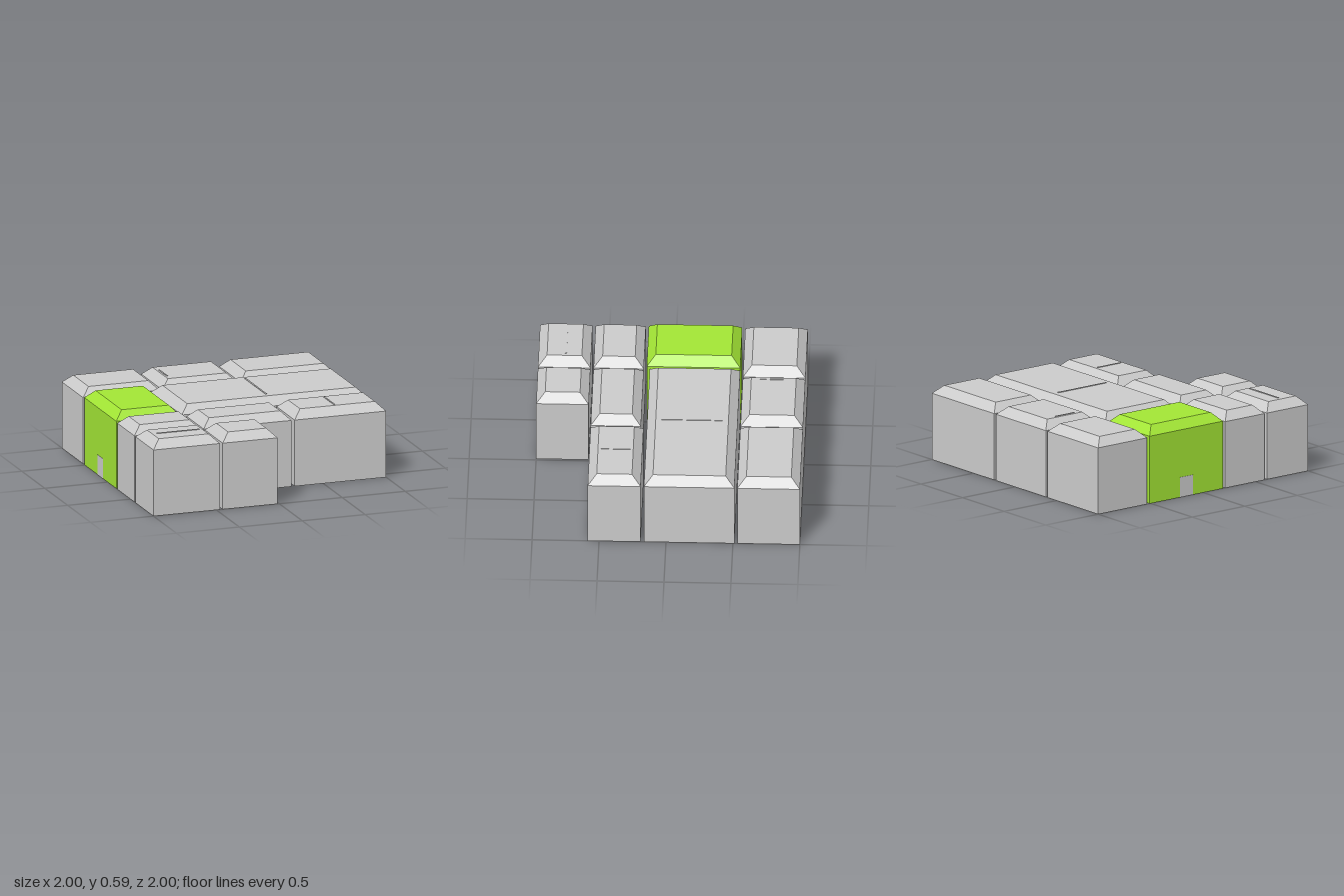
import * as THREE from 'three';

const grey = new THREE.MeshStandardMaterial({ color: 0xcccccc, flatShading: true });
const green = new THREE.MeshStandardMaterial({ color: 0xa3e635, flatShading: true });

// Block with straight walls and a chamfered top
function roomBlock(x0, x1, z0, z1, wallTop, top, inset) {
  const w = x1 - x0, d = z1 - z0;
  const geo = new THREE.BoxGeometry(w, 2, d, 1, 2, 1);
  const p = geo.attributes.position;
  for (let i = 0; i < p.count; i++) {
    const level = Math.round(p.getY(i)) + 1; // 0 floor, 1 wall top, 2 roof
    const shrink = level === 2 ? inset : 0;
    p.setXYZ(
      i,
      (x0 + x1) / 2 + Math.sign(p.getX(i)) * (w / 2 - shrink),
      [0, wallTop, top][level],
      (z0 + z1) / 2 + Math.sign(p.getZ(i)) * (d / 2 - shrink)
    );
  }
  const flat = geo.toNonIndexed();
  flat.computeVertexNormals();
  return flat;
}

function boxBetween(x0, x1, y0, y1, z0, z1) {
  return new THREE.BoxGeometry(x1 - x0, y1 - y0, z1 - z0)
    .translate((x0 + x1) / 2, (y0 + y1) / 2, (z0 + z1) / 2);
}

export function createModel() {
  const group = new THREE.Group();
  const add = (name, geo, mat = grey) => {
    const mesh = new THREE.Mesh(geo, mat);
    mesh.name = name;
    group.add(mesh);
  };

  // Grey rooms: name, x range, z range
  const rooms = [
    ['backRightRoom', -1, -0.393, -1, -0.533],
    ['backMiddleRoom', -0.37, 0.227, -1, -0.533],
    ['backLeftRoom', 0.25, 1, -1, -0.533],
    ['mainHall', -0.47, 1, -0.51, 0.165],
    ['middleRightRoom', -1, -0.473, 0.21, 0.585],
    ['middleRoom', -0.45, 0.247, 0.21, 0.585],
    ['middleLeftRoom', 0.273, 1, 0.19, 0.585],
    ['frontRightRoom', -1, -0.473, 0.608, 1],
    ['frontMiddleRoom', -0.45, -0.014, 0.608, 1],
  ];
  for (const [name, x0, x1, z0, z1] of rooms) {
    add(name, roomBlock(x0, x1, z0, z1, 0.513, 0.577, 0.066));
  }

  // Slightly taller coloured entrance room with its door
  add('entranceRoom', roomBlock(-1, -0.493, -0.51, 0.188, 0.521, 0.587, 0.066), green);
  add('entranceDoor', boxBetween(-1.002, -0.996, 0, 0.155, -0.22, -0.1));

  // Thin partition strips just proud of the roofs
  const strips = [
    ['backRoomPartition', -0.29, -0.279, -0.84, -0.665],
    ['hallPartition', 0.234, 0.246, -0.4, 0.057],
    ['middleRoomPartition', 0.614, 0.625, 0.277, 0.497],
    ['frontRoomPartition', -0.9, -0.563, 0.788, 0.8],
  ];
  for (const [name, x0, x1, z0, z1] of strips) {
    add(name, boxBetween(x0, x1, 0.57, 0.581, z0, z1));
  }
  return group;
}
